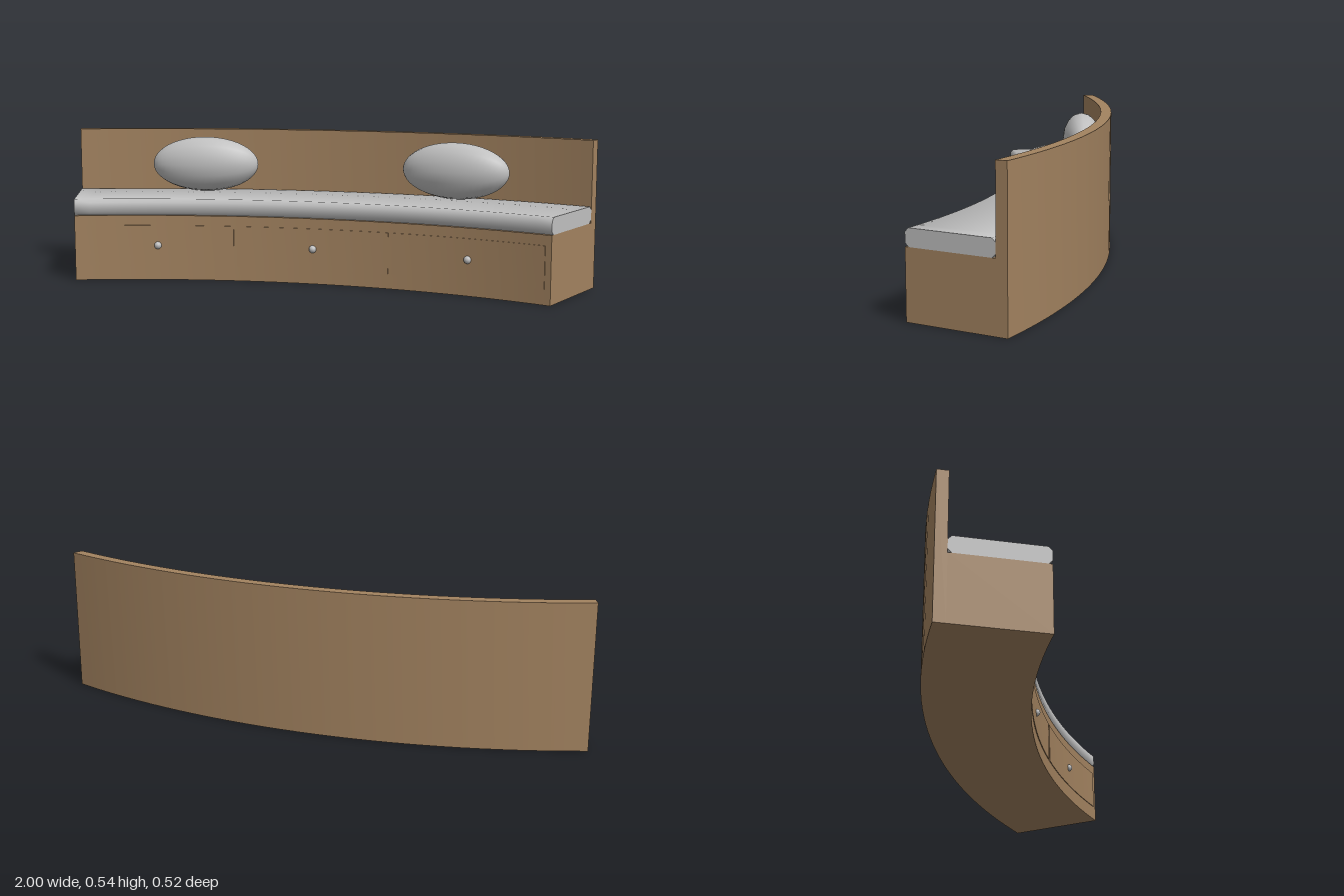
import * as THREE from 'three';
import { toCreasedNormals } from 'three/addons/utils/BufferGeometryUtils.js';

const CENTRE_Z = 2.662; // centre of the bench's curve
const FRONT = 2.554, INNER = 2.883, OUTER = 2.924; // radii
const HALF = THREE.MathUtils.degToRad(20);

const onArc = (r, y, a) => [r * Math.sin(a), y, CENTRE_Z - r * Math.cos(a)];

// Sweeps a convex counter-clockwise (radius, height) profile along the curve, with end caps
function sweep(profile, a0, a1, steps) {
  const pos = [];
  const n = profile.length;
  const tri = (a, b, c) => pos.push(...a, ...b, ...c);
  for (let s = 0; s < steps; s++) {
    const u = a0 + (a1 - a0) * s / steps, v = a0 + (a1 - a0) * (s + 1) / steps;
    for (let i = 0; i < n; i++) {
      const p = profile[i], q = profile[(i + 1) % n];
      const A = onArc(...p, u), B = onArc(...q, u), C = onArc(...q, v), D = onArc(...p, v);
      tri(A, B, C);
      tri(A, C, D);
    }
  }
  for (let i = 1; i < n - 1; i++) {
    const [p, q, r] = [profile[0], profile[i], profile[i + 1]];
    tri(onArc(...p, a1), onArc(...q, a1), onArc(...r, a1));
    tri(onArc(...p, a0), onArc(...r, a0), onArc(...q, a0));
  }
  const g = new THREE.BufferGeometry();
  g.setAttribute('position', new THREE.Float32BufferAttribute(pos, 3));
  return toCreasedNormals(g, 0.9);
}

const rect = (r0, r1, y0, y1) => [[r0, y0], [r1, y0], [r1, y1], [r0, y1]];

function chamfered(r0, r1, y0, y1, c) {
  return [[r0 + c, y0], [r1 - c, y0], [r1, y0 + c], [r1, y1 - c],
    [r1 - c, y1], [r0 + c, y1], [r0, y1 - c], [r0, y0 + c]];
}

export function createModel() {
  const group = new THREE.Group();
  group.name = 'curvedBench';
  const wood = new THREE.MeshStandardMaterial({ color: 0xa38360 });
  wood.name = 'wood';
  const fabric = new THREE.MeshStandardMaterial({ color: 0xc0c0c0 });
  fabric.name = 'greyFabric';

  const add = (name, geometry, material) => {
    const mesh = new THREE.Mesh(geometry, material);
    mesh.name = name;
    group.add(mesh);
    return mesh;
  };

  // Body
  add('base', sweep(rect(FRONT, INNER, 0, 0.242), -HALF, HALF, 32), wood);
  add('backrest', sweep(rect(INNER, OUTER, 0, 0.538), -HALF, HALF, 32), wood);
  add('seatCushion', sweep(chamfered(FRONT, INNER, 0.242, 0.303, 0.013), -HALF, HALF, 32), fabric);

  // Three drawer fronts, each with a round knob
  for (const i of [-1, 0, 1]) {
    const a = THREE.MathUtils.degToRad(13.1 * i), w = THREE.MathUtils.degToRad(6.4);
    add('drawerFront', sweep(rect(FRONT - 0.003, FRONT + 0.001, 0.055, 0.205), a - w, a + w, 12), wood);
    const knob = add('drawerKnob', new THREE.SphereGeometry(0.014, 12, 8), fabric);
    knob.position.set(...onArc(FRONT - 0.003, 0.13, a));
  }

  // Two plump cushions leaning on the backrest
  for (const side of [-1, 1]) {
    const a = THREE.MathUtils.degToRad(10 * side);
    const shape = new THREE.SphereGeometry(1, 16, 24).rotateZ(Math.PI / 2).scale(0.205, 0.105, 0.0765);
    const pillow = add('pillow', shape, fabric);
    pillow.position.set(...onArc(2.811, 0.408, a));
    pillow.rotation.y = -a;
  }
  return group;
}
